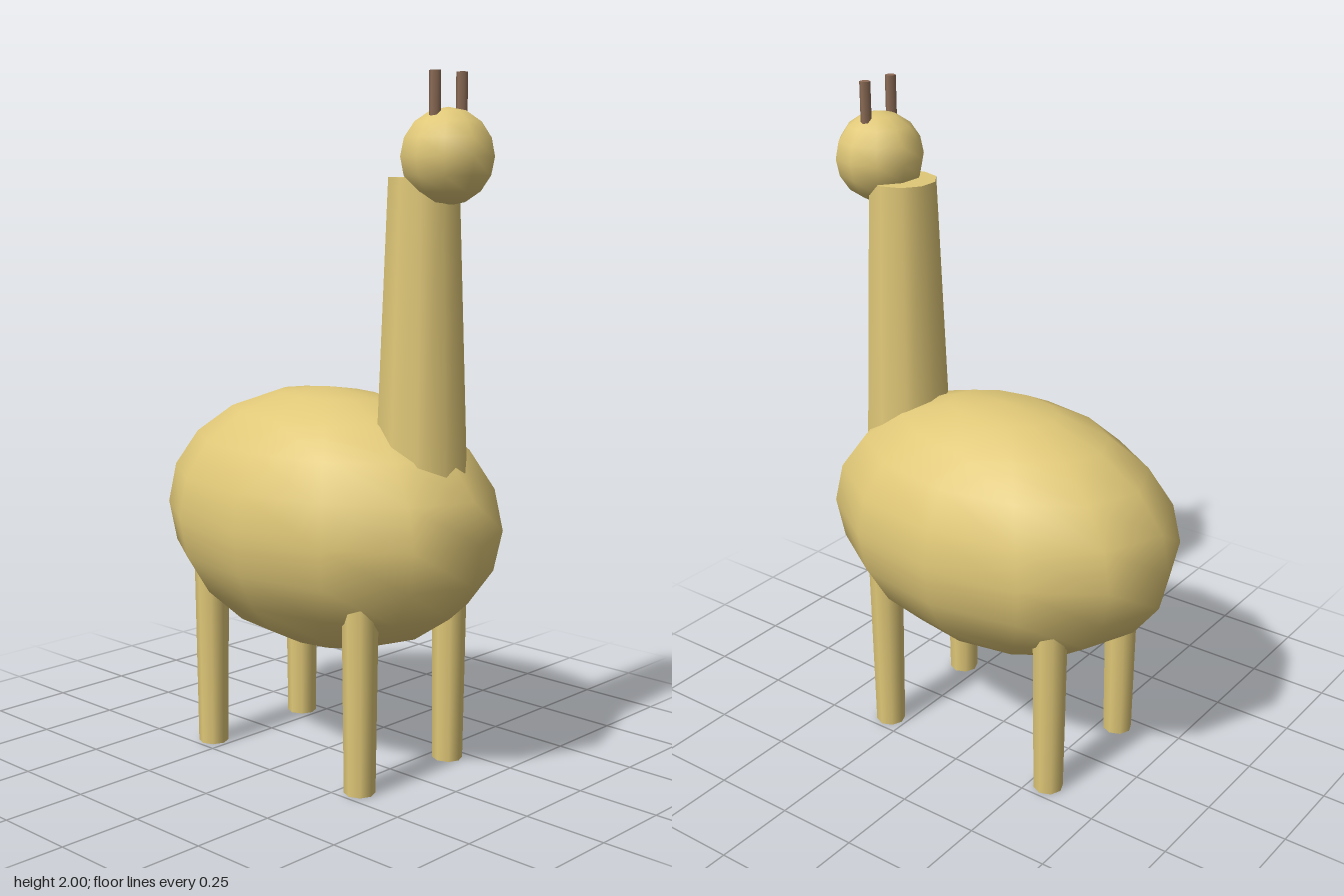
import * as THREE from 'three';

export function createModel() {
  const model = new THREE.Group();
  const coat = new THREE.MeshStandardMaterial({ color: 0xe0c878 });
  const horn = new THREE.MeshStandardMaterial({ color: 0x8b6b55 });

  const add = (name, geometry, material, x, y, z) => {
    const mesh = new THREE.Mesh(geometry, material);
    mesh.name = name;
    mesh.position.set(x, y, z);
    model.add(mesh);
    return mesh;
  };
  // Tapered post standing on yBase, turned so that a corner lies on the x axis
  const post = (name, rTop, rBase, yBase, yTop, sides, material, x, z) => {
    const h = yTop - yBase;
    const start = Math.PI / 2;
    const geometry = new THREE.CylinderGeometry(rTop, rBase, h, sides, 1, false, start);
    return add(name, geometry, material, x, yBase + h / 2, z);
  };

  // Egg-shaped body
  add('body', new THREE.SphereGeometry(0.386, 12, 10), coat, 0, 0.725, 0).scale.z = 1.5;

  // Neck and head
  post('neck', 0.1, 0.137, 0.76, 1.72, 10, coat, 0, 0.36);
  add('head', new THREE.SphereGeometry(0.131, 10, 8), coat, 0, 1.775, 0.443);

  // Mirrored legs and horns
  for (const [side, s] of [['left', 1], ['right', -1]]) {
    post(side + 'FrontLeg', 0.052, 0.045, 0, 0.58, 8, coat, s * 0.193, 0.307);
    post(side + 'BackLeg', 0.052, 0.045, 0, 0.58, 8, coat, s * 0.193, -0.307);
    post(side + 'Horn', 0.016, 0.016, 1.85, 2, 6, horn, s * 0.056, 0.443);
  }
  return model;
}
